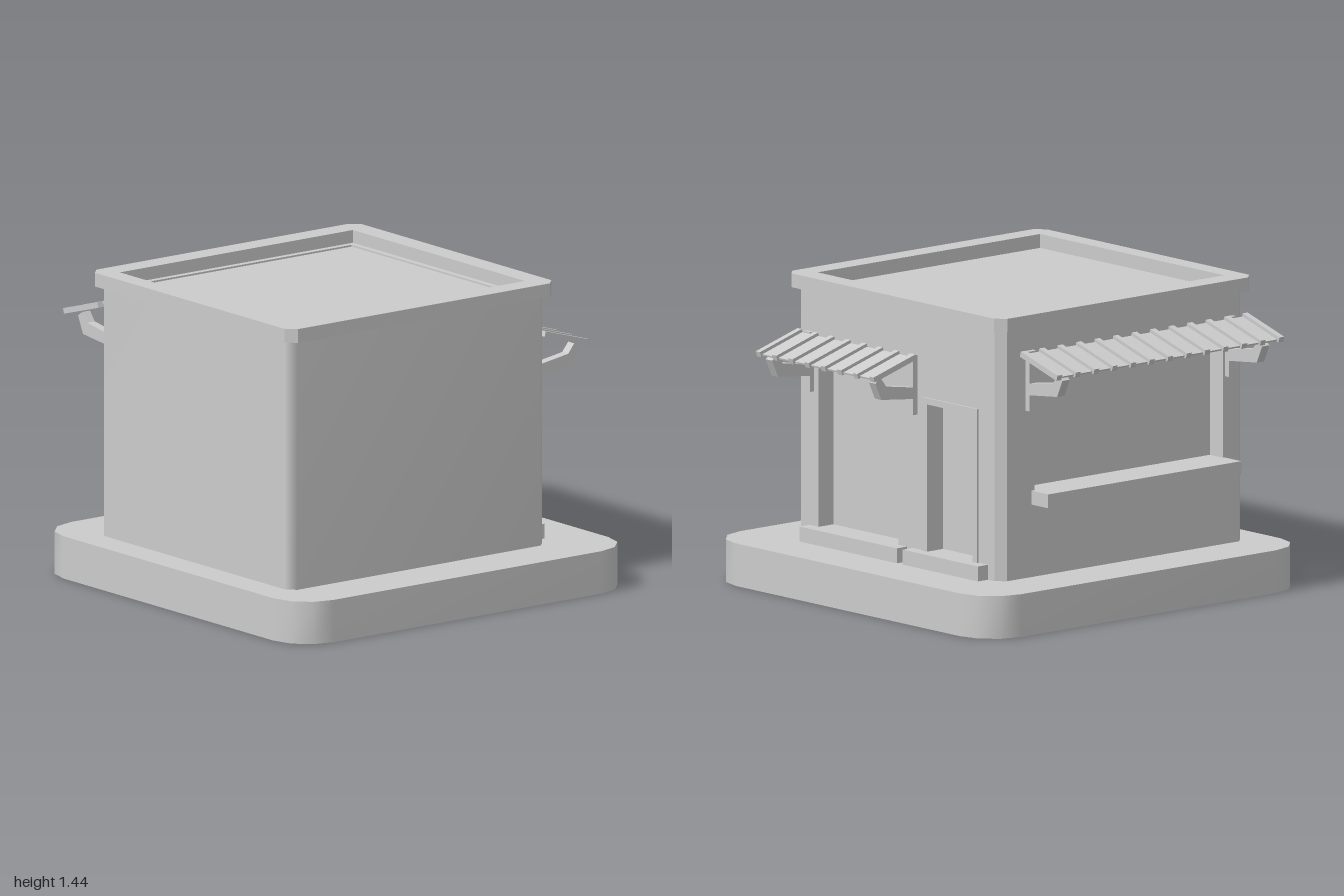
import * as THREE from 'three';

const mat = new THREE.MeshStandardMaterial({ color: 0xcccccc });
const thin = new THREE.MeshStandardMaterial({ color: 0xcccccc, side: THREE.DoubleSide });

function add(parent, name, geometry, material = mat) {
  const mesh = new THREE.Mesh(geometry, material);
  mesh.name = name;
  parent.add(mesh);
  return mesh;
}

// Box given by its limits on each axis
function box(parent, name, x0, x1, y0, y1, z0, z1) {
  const mesh = add(parent, name, new THREE.BoxGeometry(x1 - x0, y1 - y0, z1 - z0));
  mesh.position.set((x0 + x1) / 2, (y0 + y1) / 2, (z0 + z1) / 2);
  return mesh;
}

function polygon(points) {
  return new THREE.Shape(points.map(([x, y]) => new THREE.Vector2(x, y)));
}

function rect(x0, x1, y0, y1) {
  return [[x0, y0], [x1, y0], [x1, y1], [x0, y1]];
}

// Plan outline [x, z] of a rectangle with corners of n segments
function roundedPlan(x0, x1, z0, z1, r, n) {
  const centres = [[x1 - r, z1 - r], [x0 + r, z1 - r], [x0 + r, z0 + r], [x1 - r, z0 + r]];
  const points = [];
  centres.forEach(([cx, cz], q) => {
    for (let i = 0; i <= n; i++) {
      const a = (q + i / n) * Math.PI / 2;
      points.push([cx + r * Math.cos(a), cz + r * Math.sin(a)]);
    }
  });
  return points;
}

// Upright band along a plan path, with smooth normals
function band(path, y0, y1, closed) {
  const pos = [], index = [], n = path.length;
  for (const [x, z] of path) pos.push(x, y0, z, x, y1, z);
  for (let i = 0; i < (closed ? n : n - 1); i++) {
    const a = 2 * i, b = 2 * ((i + 1) % n);
    index.push(a, a + 1, b, b, a + 1, b + 1);
  }
  const g = new THREE.BufferGeometry();
  g.setAttribute('position', new THREE.Float32BufferAttribute(pos, 3));
  g.setIndex(index);
  g.computeVertexNormals();
  return g;
}

// Flat wall with openings; its outside is at local z = 0
function facade(parent, x0, x1, openings) {
  const shape = polygon(rect(x0, x1, 0.2, 1.38));
  for (const o of openings) shape.holes.push(polygon(rect(...o)));
  const g = new THREE.ExtrudeGeometry(shape, { depth: 0.1, bevelEnabled: false });
  add(parent, 'wall', g.translate(0, 0, -0.1));
  for (const [a, b, c, d] of openings) {
    box(parent, 'recessedPanel', a - 0.01, b + 0.01, c - 0.01, d + 0.01, -0.11, -0.09);
  }
}

// Slatted awning on two brackets, measured from the foot of the wall plates
function awning(parent, first, count, bracketXs) {
  const group = new THREE.Group();
  group.name = 'awning';
  parent.add(group);
  const step = 0.113, width = 0.045;

  const arm = polygon([[0, 0.076], [0.026, 0.076], [0.22, 0.097], [0.257, 0.178],
    [0.225, 0.2], [0.19, 0.156], [0.026, 0.13], [0, 0.13]]);
  for (const x of bracketXs) {
    box(group, 'wallPlate', x - width / 2, x + width / 2, 0, 0.28, 0, 0.026);
    const g = new THREE.ExtrudeGeometry(arm, { depth: width, bevelEnabled: false });
    g.translate(0, 0, -width / 2).rotateY(-Math.PI / 2);
    add(group, 'bracketArm', g).position.x = x;
  }

  const cover = new THREE.Group();
  cover.name = 'slopingCover';
  cover.position.set(0, 0.24, 0.159);
  cover.rotation.x = 0.286;
  group.add(cover);
  const last = first + step * (count - 1);
  box(cover, 'sheet', first, last, -0.01, -0.002, -0.13, 0.122);
  for (let i = 0; i < count; i++) {
    const x = first + i * step;
    box(cover, 'slat', x - 0.015, x + 0.015, -0.013, 0.013, -0.133, 0.133);
  }
  return group;
}

export function createModel() {
  const model = new THREE.Group();
  model.name = 'kiosk';

  // Hollow ground slab, open underneath
  const plan = roundedPlan(-0.96, 1, -0.98, 0.98, 0.2, 3);
  add(model, 'baseSides', band(plan, 0, 0.2, true), thin);
  const top = new THREE.ShapeGeometry(polygon(plan.map(([x, z]) => [x, -z])));
  add(model, 'baseTop', top.rotateX(-Math.PI / 2), thin).position.y = 0.2;

  // Plain walls with cut corners; the other two walls have openings
  add(model, 'plainWalls', band([[-0.65, 0.83], [-0.69, 0.79]].reverse().length && [
    [0.7, -0.67], [0.74, -0.63], [0.74, 0.79], [0.7, 0.83], [-0.65, 0.83], [-0.69, 0.79],
  ], 0.2, 1.38, false), thin);
  add(model, 'wallCorner', band([[-0.69, -0.63], [-0.65, -0.67]], 0.2, 1.38, false), thin);

  // Roof rim and sunken roof
  const rim = polygon(roundedPlan(-0.73, 0.77, -0.855, 0.705, 0.045, 1));
  rim.holes.push(polygon(rect(-0.62, 0.663, -0.76, 0.6)));
  const rimGeo = new THREE.ExtrudeGeometry(rim, { depth: 0.065, bevelEnabled: false });
  add(model, 'roofRim', rimGeo.rotateX(-Math.PI / 2)).position.y = 1.375;
  box(model, 'roofFloor', -0.64, 0.69, 1.34, 1.372, -0.62, 0.78);

  // Back: shop window, door, steps and awning (local x runs towards world -x)
  const back = new THREE.Group();
  back.name = 'backFacade';
  back.position.z = -0.67;
  back.rotation.y = Math.PI;
  model.add(back);
  facade(back, -0.7, 0.65, [[-0.575, -0.02, 0.24, 1.06], [0.19, 0.51, 0.24, 0.96]]);
  box(back, 'windowStep', -0.64, 0.04, 0.2, 0.27, -0.09, 0.062);
  box(back, 'doorStep', 0.08, 0.605, 0.2, 0.27, -0.09, 0.062);
  box(back, 'doorJamb', 0.16, 0.19, 0.2, 0.99, -0.02, 0.01);
  box(back, 'doorJamb', 0.51, 0.54, 0.2, 0.99, -0.02, 0.01);
  box(back, 'doorHead', 0.19, 0.51, 0.96, 0.99, -0.02, 0.01);
  awning(back, -0.668, 8, [-0.63, 0.09]).position.y = 0.9;

  // Right: serving hatch, counter and awning (local x runs along world z)
  const side = new THREE.Group();
  side.name = 'hatchFacade';
  side.position.x = -0.69;
  side.rotation.y = -Math.PI / 2;
  model.add(side);
  facade(side, -0.63, 0.79, [[-0.46, 0.69, 0.57, 1.15]]);
  box(side, 'counter', -0.48, 0.7, 0.54, 0.605, -0.09, 0.118);
  awning(side, -0.577, 13, [-0.51, 0.71]).position.set(0, 0.99, 0.02);

  return model;
}
